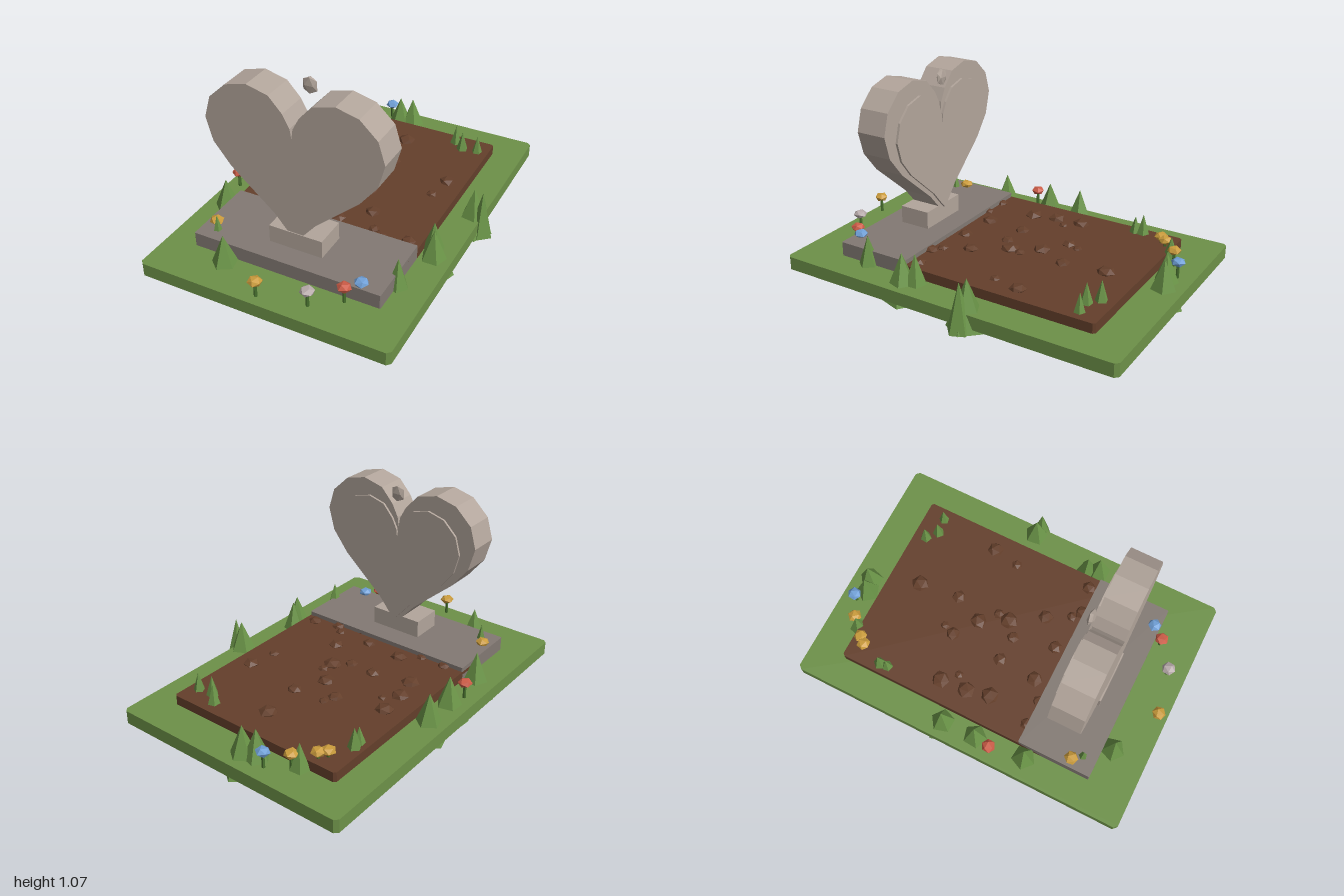
import * as THREE from 'three';

const CX = -0.025; // centre line of the plot

function material(name, color) {
  const m = new THREE.MeshStandardMaterial({ color });
  m.name = name;
  return m;
}

// Faceted copy of a geometry
function faceted(geometry) {
  const g = geometry.index ? geometry.toNonIndexed() : geometry;
  g.computeVertexNormals();
  return g;
}

// Flat slab with clipped corners, between two heights
function slabGeometry(x0, x1, z0, z1, y0, y1, c) {
  const pts = [
    [x0 + c, -z1], [x1 - c, -z1], [x1, -z1 + c], [x1, -z0 - c],
    [x1 - c, -z0], [x0 + c, -z0], [x0, -z0 - c], [x0, -z1 + c],
  ].map(([x, y]) => new THREE.Vector2(x, y));
  const g = new THREE.ExtrudeGeometry(new THREE.Shape(pts), { depth: y1 - y0, bevelEnabled: false });
  return g.rotateX(-Math.PI / 2).translate(0, y0, 0);
}

// Right half of the heart, from the tip up to the notch
const HALF_HEART = [
  [0, 0.23], [0.05, 0.285], [0.118, 0.365], [0.358, 0.575], [0.453, 0.695], [0.489, 0.825],
  [0.453, 0.945], [0.358, 1.035], [0.237, 1.066], [0.118, 1.035], [0.045, 0.955],
  [0.008, 0.885], [0, 0.83],
];

function heartGeometry(sx, sy, tipY, z0, z1) {
  const place = (x, y) => new THREE.Vector2(CX + x * sx, tipY + (y - 0.23) * sy);
  const right = HALF_HEART.map(([x, y]) => place(x, y));
  const left = HALF_HEART.slice(1, -1).reverse().map(([x, y]) => place(-x, y));
  const g = new THREE.ExtrudeGeometry(new THREE.Shape([...right, ...left]), { depth: z1 - z0, bevelEnabled: false });
  return g.translate(0, 0, z0);
}

export function createModel() {
  const root = new THREE.Group();
  root.name = 'heartMemorialGarden';

  const grass = material('grass green', 0x6d9148);
  const leaf = material('leaf green', 0x6b9548);
  const stemGreen = material('stem green', 0x48702f);
  const soil = material('soil brown', 0x643f2b);
  const plinthGrey = material('plinth grey', 0x827973);
  const stone = material('pale stone', 0xb2a59b);
  const petals = {
    blue: material('petal blue', 0x6f9fd6),
    yellow: material('petal yellow', 0xcb9c3c),
    red: material('petal red', 0xcc5c47),
    white: material('petal white', 0xb8abab),
  };

  const add = (name, geometry, mat, parent = root) => {
    const mesh = new THREE.Mesh(geometry, mat);
    mesh.name = name;
    parent.add(mesh);
    return mesh;
  };
  const group = (name) => {
    const g = new THREE.Group();
    g.name = name;
    root.add(g);
    return g;
  };

  // Ground layers
  add('lawn', slabGeometry(-0.73, 0.68, -1, 1, 0.025, 0.1, 0.02), grass);
  add('soilBed', slabGeometry(-0.56, 0.51, -0.795, 0.466, 0.09, 0.155, 0.012), soil);
  add('plinth', slabGeometry(-0.56, 0.51, 0.32, 0.75, 0.03, 0.18, 0.004), plinthGrey);

  // Headstone: foot block, heart and stepped relief on the back
  add('headstoneFoot', new THREE.BoxGeometry(0.305, 0.1, 0.18), stone).position.set(CX, 0.23, 0.54);
  add('heart', heartGeometry(1, 1, 0.23, 0.45, 0.625), stone);
  add('heartRelief', heartGeometry(0.82, 0.85, 0.262, 0.437, 0.452), stone);
  const pebble = add('pebble', faceted(new THREE.IcosahedronGeometry(0.045, 0).rotateZ(Math.PI / 2)), stone);
  pebble.scale.set(1, 1.12, 0.38);
  pebble.position.set(CX, 1.03, 0.437);

  // Clods of earth: x, z, radius
  const clods = group('clods');
  const clodGeometry = faceted(new THREE.IcosahedronGeometry(1, 0).rotateX(0.55));
  [
    [0.02, -0.61, 0.053], [0.05, -0.37, 0.042], [-0.14, -0.36, 0.027], [-0.165, -0.295, 0.042],
    [0.41, -0.315, 0.048], [-0.435, -0.23, 0.053], [-0.365, -0.15, 0.027], [-0.03, -0.2, 0.05],
    [0.38, -0.16, 0.032], [-0.425, -0.075, 0.053], [0.06, -0.115, 0.032], [0.05, -0.045, 0.055],
    [-0.18, 0.015, 0.042], [-0.03, 0.02, 0.037], [-0.395, 0.06, 0.053], [0.165, 0.135, 0.045],
    [-0.195, 0.24, 0.048], [0.025, 0.262, 0.042], [0.235, 0.268, 0.032], [-0.445, 0.315, 0.037],
    [-0.3, 0.315, 0.032], [0.285, 0.31, 0.042], [0.44, 0.28, 0.042], [0.135, 0.335, 0.02],
  ].forEach(([x, z, r], i) => {
    const clod = add('clod', clodGeometry, soil, clods);
    clod.scale.set(r, r * 0.55, r);
    clod.rotation.y = i * 1.7;
    clod.position.set(x, 0.155, z);
  });

  // Pointed shrubs reaching through the lawn: x, z, base radius, height
  const shrubs = group('shrubs');
  const shrubGeometry = faceted(new THREE.ConeGeometry(1, 1, 5).translate(0, 0.5, 0));
  [
    [-0.63, -0.115, 0.11, 0.27], [-0.625, 0.085, 0.11, 0.27], [-0.61, 0.38, 0.11, 0.27],
    [-0.508, -0.58, 0.085, 0.27], [-0.503, -0.535, 0.085, 0.25], [-0.36, -0.81, 0.09, 0.25],
    [-0.143, -0.875, 0.11, 0.27], [-0.07, -0.895, 0.11, 0.27],
    [0.295, -0.722, 0.08, 0.27], [0.355, -0.67, 0.08, 0.27], [0.445, -0.68, 0.075, 0.26],
    [0.63, -0.155, 0.11, 0.27], [0.682, -0.145, 0.07, 0.27],
    [0.555, 0.215, 0.095, 0.27], [0.582, 0.28, 0.11, 0.27], [0.513, 0.56, 0.09, 0.27],
    [-0.345, 0.8, 0.11, 0.27], [-0.47, 0.67, 0.07, 0.27],
  ].forEach(([x, z, r, h], i) => {
    const shrub = add('shrub', shrubGeometry, leaf, shrubs);
    shrub.scale.set(r, h, r);
    shrub.rotation.y = i * 0.9 + 0.6;
    shrub.position.set(x, 0, z);
  });

  // Flowers: x, z, petal colour
  const flowers = group('flowers');
  const stemGeometry = faceted(new THREE.CylinderGeometry(0.008, 0.01, 0.09, 5));
  const headGeometry = faceted(new THREE.IcosahedronGeometry(0.04, 0).rotateX(0.55).scale(1, 0.62, 1));
  [
    [-0.217, -0.91, 'blue'], [-0.333, -0.84, 'yellow'], [-0.423, -0.75, 'yellow'],
    [-0.455, -0.713, 'yellow'], [-0.656, 0.188, 'red'], [-0.51, 0.618, 'yellow'],
    [0.39, 0.714, 'blue'], [0.333, 0.783, 'red'], [0.19, 0.888, 'white'], [-0.069, 0.942, 'yellow'],
  ].forEach(([x, z, color], i) => {
    add('flowerStem', stemGeometry, stemGreen, flowers).position.set(x, 0.14, z);
    const head = add('flowerHead', headGeometry, petals[color], flowers);
    head.position.set(x, 0.192, z);
    head.rotation.y = i * 1.3;
  });

  return root;
}
